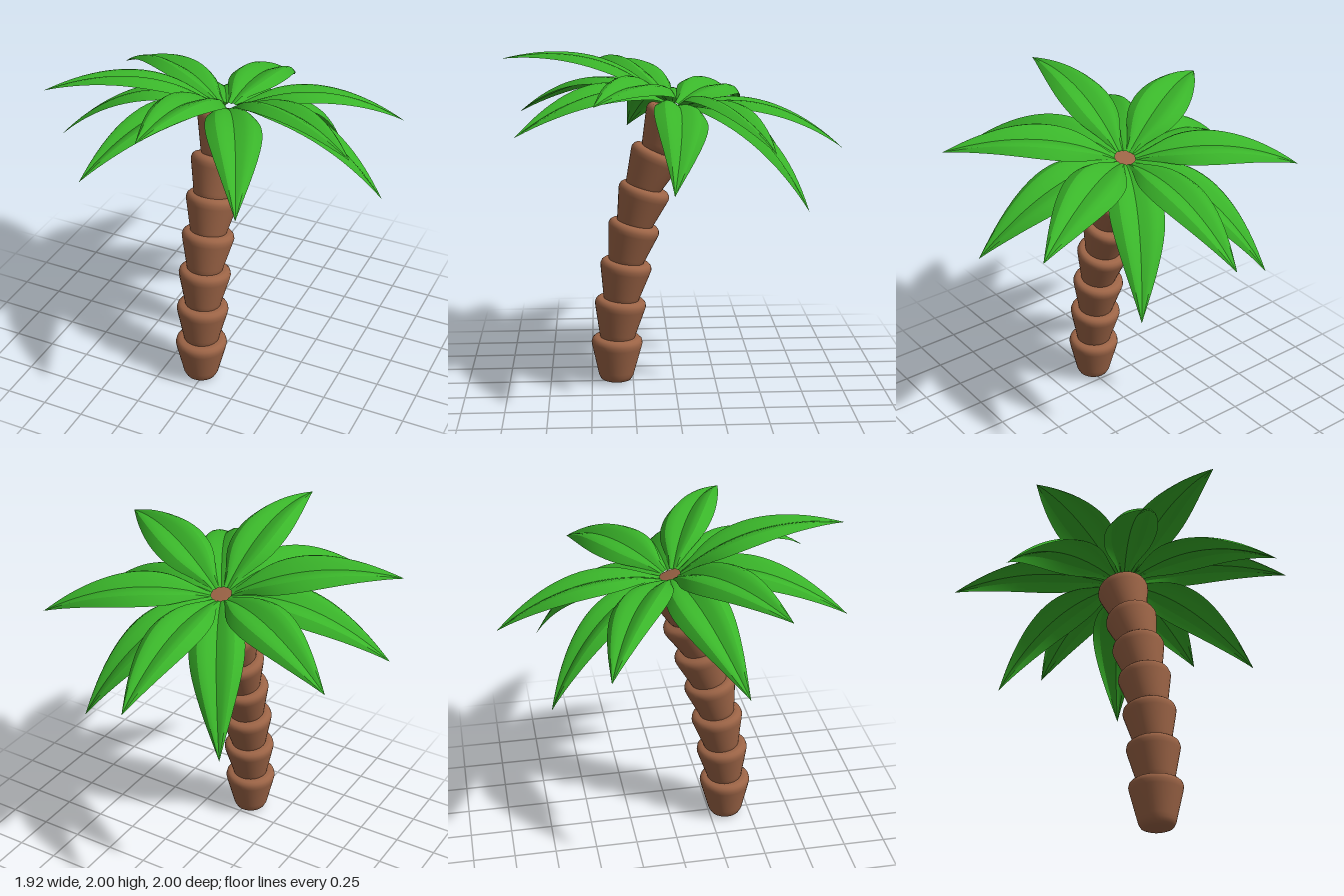
import * as THREE from 'three';
import { toCreasedNormals } from 'three/addons/utils/BufferGeometryUtils.js';

const rad = THREE.MathUtils.degToRad;
const bark = new THREE.MeshStandardMaterial({ color: 0x9c6446 });
const leaf = new THREE.MeshStandardMaterial({ color: 0x3ab52a, side: THREE.DoubleSide });

// Smooth curve through a few [position, value] pairs
function profile(pairs) {
  const curve = new THREE.SplineCurve(pairs.map(p => new THREE.Vector2(...p)));
  const pts = curve.getPoints(80);
  return t => {
    const i = pts.findIndex(p => p.x >= t - 1e-6);
    if (i <= 0) return pts[0].y;
    const a = pts[i - 1], b = pts[i];
    return a.y + (b.y - a.y) * (t - a.x) / (b.x - a.x);
  };
}

const halfWidth = profile([[0, 0.03], [0.08, 0.055], [0.25, 0.135], [0.42, 0.157],
  [0.6, 0.135], [0.8, 0.078], [1, 0]]);
// Two arched lobes either side of a sunken midrib
const lobe = profile([[0, 0], [0.35, 0.024], [0.65, 0.03], [1, -0.014]]);

// Frond running along +z, arching up to the control point and down to the tip
function frondGeometry(length, rise, tipY, reach) {
  const spine = new THREE.QuadraticBezierCurve3(
    new THREE.Vector3(0, 0.0, 0.06),
    new THREE.Vector3(0, rise, length * reach),
    new THREE.Vector3(0, tipY, length));
  const rows = 20, cols = 12, pos = [], index = [];
  for (let i = 0; i <= rows; i++) {
    const t = i / rows, c = spine.getPoint(t), d = spine.getTangent(t);
    const w = halfWidth(t);
    for (let j = 0; j <= cols; j++) {
      const s = j / cols * 2 - 1;
      const h = lobe(Math.abs(s)) * w / 0.157;
      pos.push(s * w, c.y + h * d.z, c.z - h * d.y);
    }
  }
  for (let i = 0; i < rows; i++) {
    for (let j = 0; j < cols; j++) {
      const a = i * (cols + 1) + j, b = a + cols + 1;
      index.push(a, b, a + 1);
      if (i < rows - 1) index.push(b, b + 1, a + 1);
    }
  }
  const g = new THREE.BufferGeometry();
  g.setAttribute('position', new THREE.Float32BufferAttribute(pos, 3));
  g.setIndex(index);
  return toCreasedNormals(g, 0.5);
}

function createTrunk() {
  const trunk = new THREE.Group();
  trunk.name = 'trunk';
  // Flared cup with rounded rims
  const height = 0.275;
  const cup = [[0, 0], [0.07, 0], [0.093, 0.01], [0.106, 0.035], [0.112, 0.06], [0.15, 0.215],
    [0.155, 0.24], [0.15, 0.26], [0.138, 0.272], [0.12, height], [0, height]];
  const geometry = toCreasedNormals(
    new THREE.LatheGeometry(cup.map(p => new THREE.Vector2(...p)), 32), 0.7);
  // Each segment: z and y of its top centre, lean in degrees
  const segments = [[0.345, 0.28, 2], [0.32, 0.52, 6], [0.283, 0.755, 9], [0.232, 0.988, 14],
    [0.168, 1.208, 17], [0.093, 1.425, 23], [0.003, 1.665, 21]];
  segments.forEach(([z, y, lean], i) => {
    const m = new THREE.Mesh(geometry, bark);
    m.name = `trunkSegment${i + 1}`;
    const a = rad(lean);
    m.position.set(-0.02, y - height * Math.cos(a), z + height * Math.sin(a));
    m.rotation.x = -a;
    trunk.add(m);
  });
  return trunk;
}

function createCrown() {
  // Whole crown leans back with the trunk
  const crown = new THREE.Group();
  crown.name = 'crown';
  crown.position.set(-0.01, 1.7, 0);
  crown.rotation.x = rad(-15);
  const layers = [
    ['upperFrond', frondGeometry(1.035, 0.23, 0, 0.5), [-2.5, 62, 119.5, 179.5, -118, -61]],
    ['lowerFrond', frondGeometry(0.97, 0.13, -0.34, 0.55), [29, 92.5, 152.5, -153, -79.5, -27]],
  ];
  for (const [name, geometry, angles] of layers) {
    angles.forEach((angle, i) => {
      const m = new THREE.Mesh(geometry, leaf);
      m.name = `${name}${i + 1}`;
      m.rotation.y = rad(angle);
      crown.add(m);
    });
  }
  return crown;
}

export function createModel() {
  const palm = new THREE.Group();
  palm.name = 'palmTree';
  palm.add(createTrunk(), createCrown());
  return palm;
}
